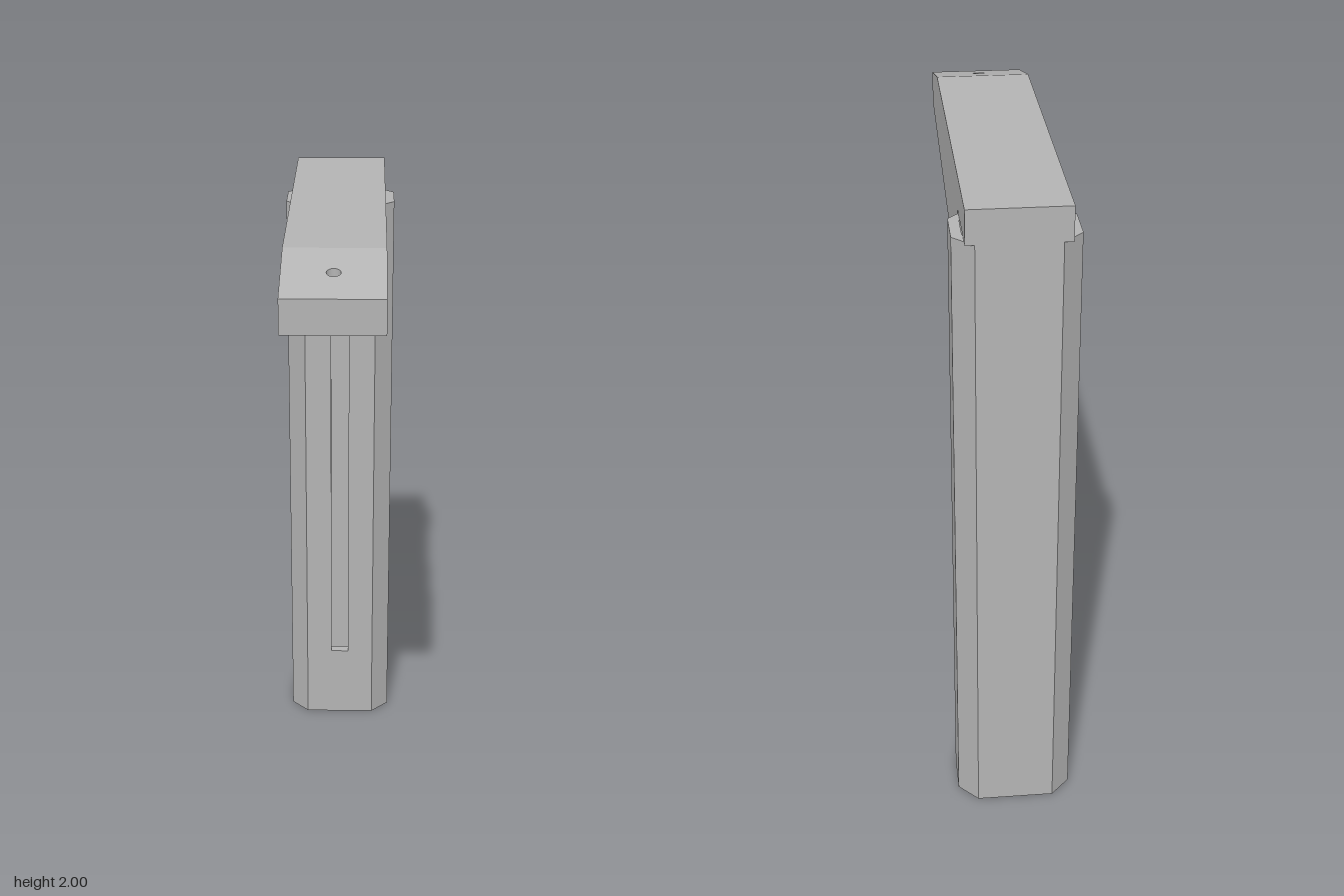
import * as THREE from 'three';

const BACK = -0.665, FRONT = -0.42, TIP = 0.665, SLOPE = 0.413;
const HALF_ARM = 0.143, SEAM = 1.91;

const shapeOf = (pts) => new THREE.Shape(pts.map(([x, y]) => new THREE.Vector2(x, y)));

// extrudes a plan given as (x, -z) upward from y0 to y1
function extrudeUp(shape, y0, y1) {
  const g = new THREE.ExtrudeGeometry(shape, { depth: y1 - y0, bevelEnabled: false, curveSegments: 16 });
  return g.rotateX(-Math.PI / 2).translate(0, y0, 0);
}

// right half of a chamfered tube section, listed from front to back
function halfSection(inset) {
  const x = 0.175 - inset, c = 0.117 - inset * 0.45;
  const f = -FRONT + inset, b = -BACK - inset, k = 0.06 - inset * 0.55;
  return [[c, f], [x, f + k], [x, b - k], [c, b]];
}
const mirror = (pts) => pts.map(([x, y]) => [-x, y]).reverse();

export function createModel() {
  const model = new THREE.Group();
  model.name = 'bracket';
  const grey = new THREE.MeshStandardMaterial({ color: 0xb4b4b4 });
  grey.name = 'plain grey';
  const add = (name, geometry, parent) => {
    const mesh = new THREE.Mesh(geometry, grey);
    mesh.name = name;
    parent.add(mesh);
  };

  // hollow post: closed ring below, slotted at the front above
  const post = new THREE.Group();
  post.name = 'post';
  model.add(post);
  const wall = 0.03, slot = 0.03, slotBottom = 0.255, postTop = 1.9;
  const outer = halfSection(0), inner = halfSection(wall);

  const ring = shapeOf([...outer, ...mirror(outer)]);
  ring.holes.push(shapeOf([...inner, ...mirror(inner)]));
  add('postBase', extrudeUp(ring, 0, slotBottom), post);

  const slotted = shapeOf([
    [slot, -FRONT], ...outer, ...mirror(outer), [-slot, -FRONT],
    [-slot, -FRONT + wall], ...mirror(inner).reverse(), ...[...inner].reverse(), [slot, -FRONT + wall],
  ]);
  add('slottedPost', extrudeUp(slotted, slotBottom, postTop), post);

  // arm: side profile in (z, y), extruded across x
  const arm = new THREE.Group();
  arm.name = 'arm';
  model.add(arm);
  const profile = shapeOf([
    [BACK, 1.9], [FRONT, 1.9], [FRONT, 1.65], [TIP, 1.835],
    [TIP, SEAM], [SLOPE, SEAM], [SLOPE, 2], [BACK, 2],
  ]);
  const body = new THREE.ExtrudeGeometry(profile, { depth: HALF_ARM * 2, bevelEnabled: false });
  add('armBody', body.rotateY(-Math.PI / 2).translate(HALF_ARM, 0, 0), arm);

  // sloping tip with a blind round hole
  const plan = shapeOf([
    [-HALF_ARM, -TIP], [HALF_ARM, -TIP], [HALF_ARM, -SLOPE], [-HALF_ARM, -SLOPE],
  ]);
  const hole = new THREE.Path();
  hole.absarc(0, -0.537, 0.02, 0, Math.PI * 2, true);
  plan.holes.push(hole);
  const tip = extrudeUp(plan, SEAM, 2);
  const p = tip.attributes.position;
  for (let i = 0; i < p.count; i++) {
    if (p.getY(i) > SEAM + 0.01) {
      p.setY(i, 2 - 0.065 * (p.getZ(i) - SLOPE) / (TIP - SLOPE));
    }
  }
  tip.computeVertexNormals();
  add('armTip', tip, arm);

  return model;
}
